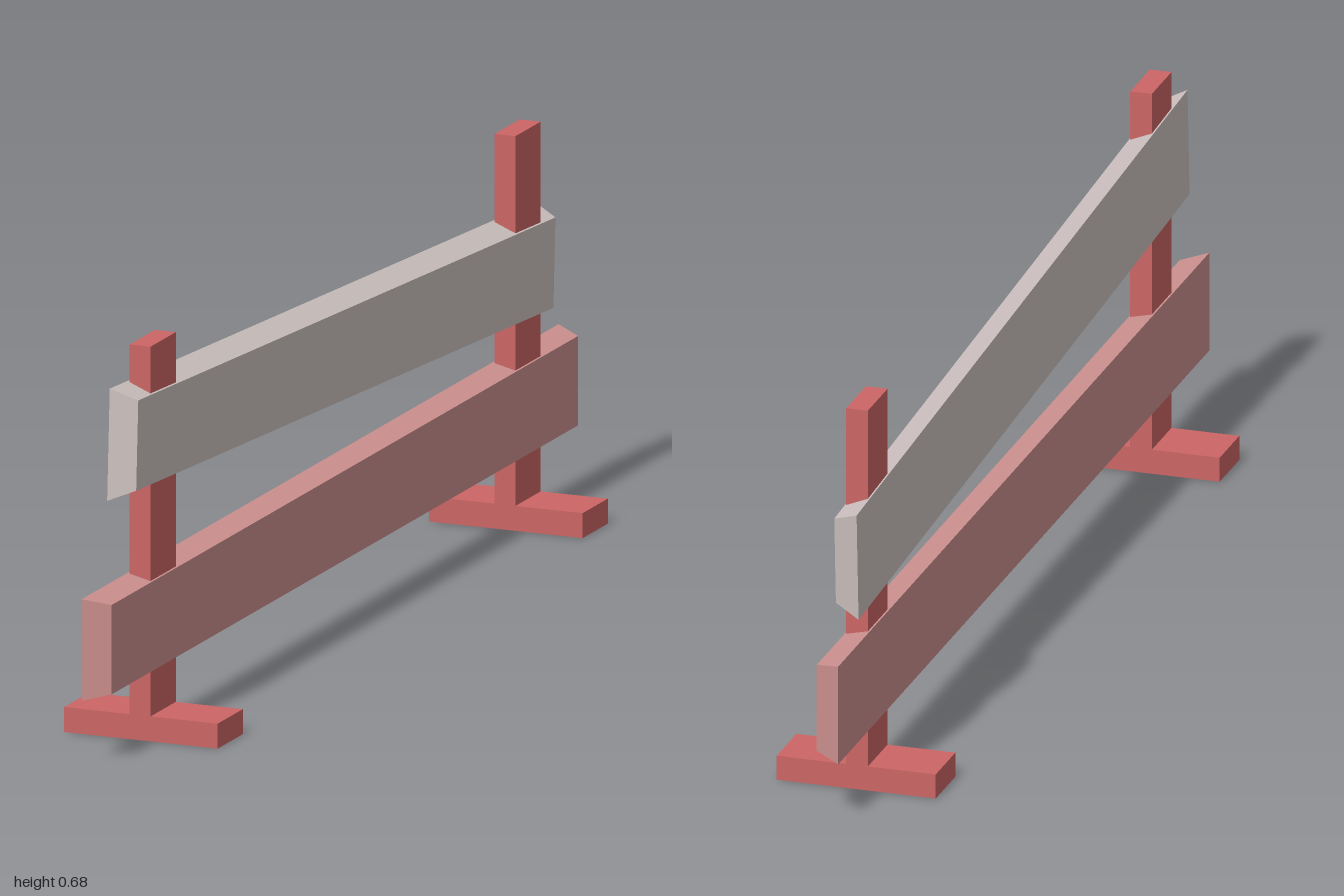
import * as THREE from 'three';

const red = new THREE.MeshStandardMaterial({ color: 0xcc6565 });
const pink = new THREE.MeshStandardMaterial({ color: 0xcc908e });
const pale = new THREE.MeshStandardMaterial({ color: 0xccc1bf });

// Box given by its limits on each axis
function block(name, [x0, x1], [y0, y1], [z0, z1]) {
  const mesh = new THREE.Mesh(new THREE.BoxGeometry(x1 - x0, y1 - y0, z1 - z0), red);
  mesh.position.set((x0 + x1) / 2, (y0 + y1) / 2, (z0 + z1) / 2);
  mesh.name = name;
  return mesh;
}

// Board whose +x face is smaller than its -x face, giving bevelled edges
function board(name, material, height, length, innerHeight, innerLength) {
  const geometry = new THREE.BoxGeometry(0.045, height, length);
  const p = geometry.attributes.position;
  for (let i = 0; i < p.count; i++) {
    if (p.getX(i) > 0) {
      p.setY(i, Math.sign(p.getY(i)) * innerHeight / 2);
      p.setZ(i, Math.sign(p.getZ(i)) * innerLength / 2);
    }
  }
  geometry.computeVertexNormals();
  const mesh = new THREE.Mesh(geometry, material);
  mesh.name = name;
  return mesh;
}

export function createModel() {
  const model = new THREE.Group();
  model.name = 'fence';

  // Two T-shaped stands
  const stands = [['front', 0.702, 0.808], ['back', -0.828, -0.722]];
  for (const [end, z0, z1] of stands) {
    const stand = new THREE.Group();
    stand.name = end + 'Stand';
    stand.add(
      block(end + 'Foot', [-0.14, 0.139], [0, 0.043], [z0, z1]),
      block(end + 'Post', [-0.021, 0.017], [0.043, 0.68], [z0, z1])
    );
    model.add(stand);
  }

  // Level lower board
  const lower = board('lowerBoard', pink, 0.175, 2, 0.154, 1.955);
  lower.position.set(-0.0025, 0.1985, 0);

  // Upper board, tilted up towards the front
  const upper = board('upperBoard', pale, 0.191, 1.786, 0.154, 1.752);
  upper.position.set(-0.0025, 0.475, -0.004);
  upper.rotation.x = -0.0567;

  model.add(lower, upper);
  return model;
}
